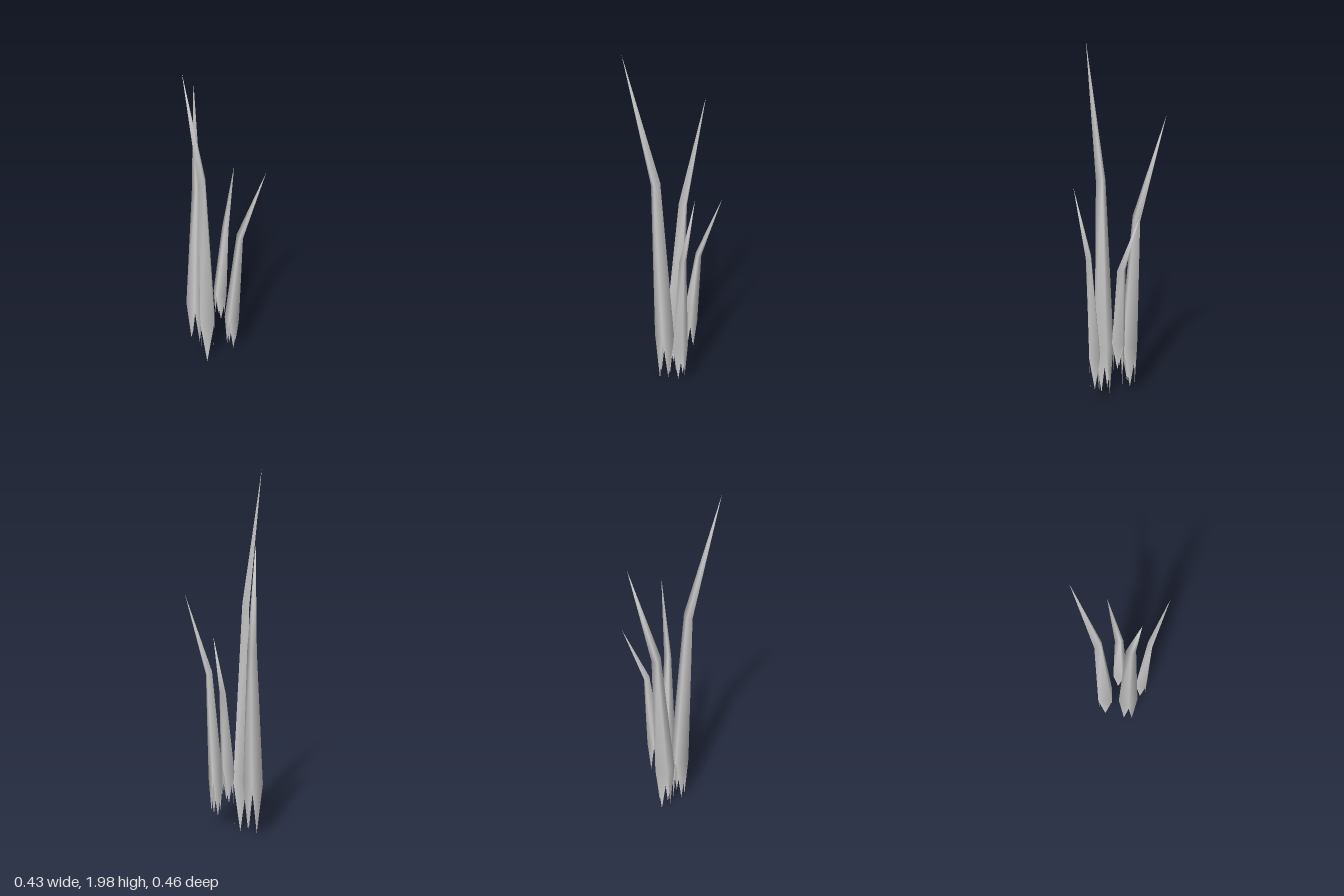
import * as THREE from 'three';

// Each blade: four corners [x, z] low on the stem, four at the bend (clockwise from above), and a tip.
const blades = [
  {
    name: 'tallBlade', tip: [-0.215, 1.99, 0.19], baseY: 0.31, bendY: 1.27, rootY: 0.01, inner: 1,
    base: [[-0.067, 0.045], [0.003, 0.079], [-0.03, 0.148], [-0.1, 0.115]],
    bend: [[-0.095, 0.086], [-0.062, 0.102], [-0.08, 0.136], [-0.108, 0.118]],
  },
  {
    name: 'backBlade', tip: [0.016, 1.66, -0.23], baseY: 0.32, bendY: 1.07, rootY: 0.045, inner: 3,
    base: [[-0.108, -0.068], [-0.033, -0.088], [-0.015, -0.011], [-0.09, 0.009]],
    bend: [[-0.056, -0.095], [-0.02, -0.1], [-0.013, -0.068], [-0.047, -0.059]],
  },
  {
    name: 'shortBlade', tip: [0.192, 1.17, -0.1], baseY: 0.4, bendY: 0.84, rootY: 0.22, inner: 3,
    base: [[0.04, -0.021], [0.099, -0.012], [0.09, 0.046], [0.031, 0.037]],
    bend: [[0.092, -0.027], [0.118, -0.015], [0.11, 0.016], [0.094, 0.003]],
  },
  {
    name: 'frontBlade', tip: [0.215, 1.335, 0.23], baseY: 0.31, bendY: 0.9, rootY: 0.1, inner: 0,
    base: [[0.049, 0.114], [0.11, 0.111], [0.112, 0.169], [0.051, 0.172]],
    bend: [[0.094, 0.154], [0.122, 0.152], [0.12, 0.178], [0.097, 0.182]],
  },
];

function bladeGeometry({ tip, baseY, bendY, rootY, inner, base, bend }) {
  const pos = [];
  const index = [];
  base.forEach(([x, z]) => pos.push(x, baseY, z)); // 0-3
  bend.forEach(([x, z], i) => pos.push(x, bendY + (i === inner ? 0.02 : 0), z)); // 4-7
  pos.push(...tip); // 8

  const cx = base.reduce((s, p) => s + p[0], 0) / 4;
  const cz = base.reduce((s, p) => s + p[1], 0) / 4;
  for (let i = 0; i < 4; i++) {
    const j = (i + 1) % 4;
    // Root prong below the middle of each side, drawn slightly inward
    const mx = (base[i][0] + base[j][0]) / 2;
    const mz = (base[i][1] + base[j][1]) / 2;
    pos.push(mx + (cx - mx) * 0.12, rootY + (i % 2) * 0.02, mz + (cz - mz) * 0.12);
    // Stem side, tapering point, prong
    index.push(j, i, 4 + i, j, 4 + i, 4 + j);
    index.push(4 + j, 4 + i, 8);
    index.push(i, j, 9 + i);
  }

  const geometry = new THREE.BufferGeometry();
  geometry.setAttribute('position', new THREE.Float32BufferAttribute(pos, 3));
  geometry.setIndex(index);
  geometry.computeVertexNormals();
  return geometry;
}

export function createModel() {
  const group = new THREE.Group();
  group.name = 'grassTuft';
  const material = new THREE.MeshStandardMaterial({ color: 0xcccccc, side: THREE.DoubleSide });
  for (const blade of blades) {
    const mesh = new THREE.Mesh(bladeGeometry(blade), material);
    mesh.name = blade.name;
    group.add(mesh);
  }
  return group;
}
